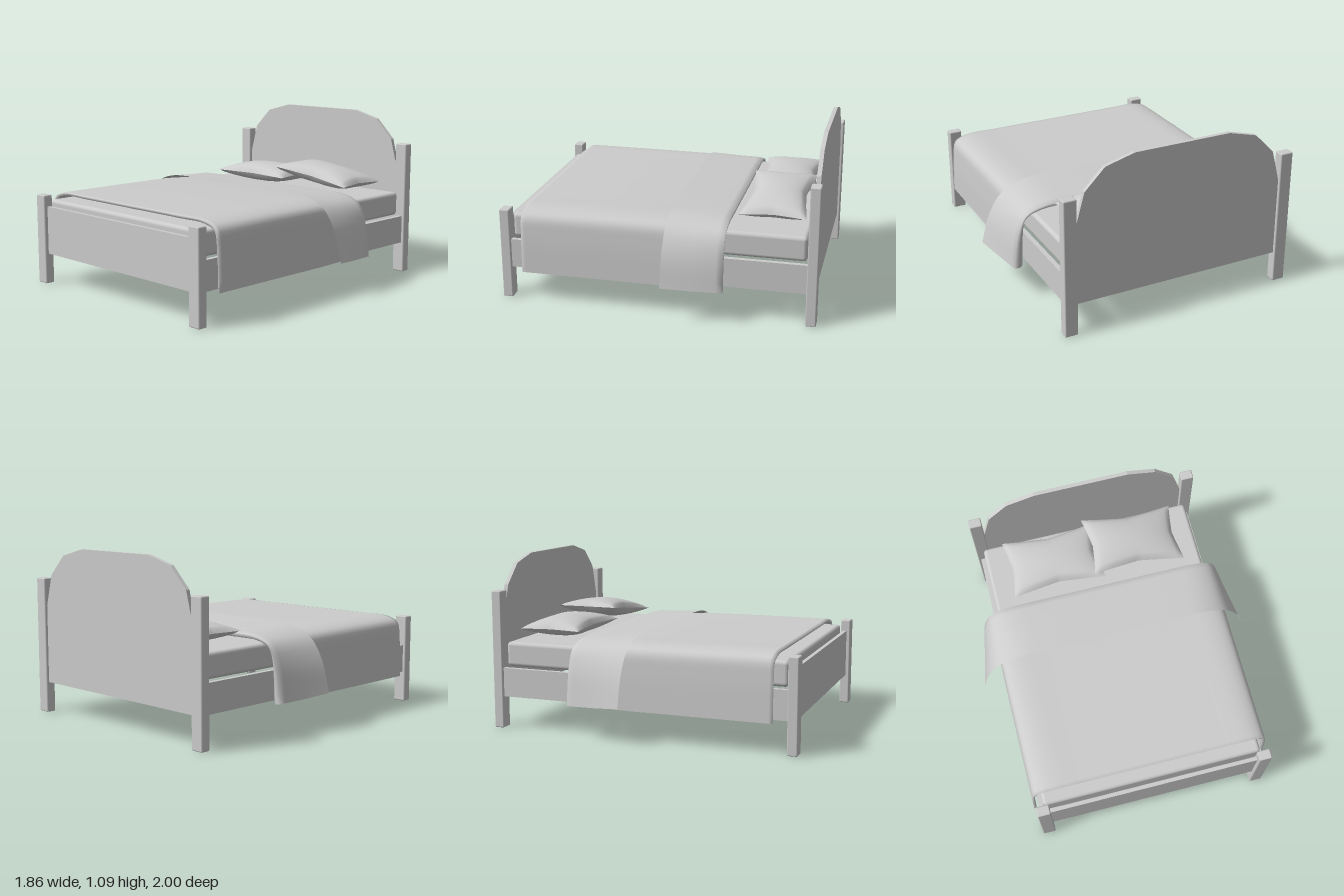
import * as THREE from 'three';
import { RoundedBoxGeometry } from 'three/addons/geometries/RoundedBoxGeometry.js';

const grey = new THREE.MeshStandardMaterial({ color: 0xcccccc, side: THREE.DoubleSide });
grey.name = 'pale grey';

const { lerp } = THREE.MathUtils;

function add(group, name, geometry, x = 0, y = 0, z = 0) {
  const mesh = new THREE.Mesh(geometry, grey);
  mesh.name = name;
  mesh.position.set(x, y, z);
  group.add(mesh);
  return mesh;
}

// Smooth sheet over a grid: fn(u, v) gives a Vector3 for u, v in 0..1
function sheet(fn, nu, nv) {
  const geometry = new THREE.PlaneGeometry(1, 1, nu, nv);
  const pos = geometry.attributes.position;
  for (let j = 0, i = 0; j <= nv; j++) {
    for (let k = 0; k <= nu; k++, i++) {
      const p = fn(k / nu, j / nv);
      pos.setXYZ(i, p.x, p.y, p.z);
    }
  }
  geometry.computeVertexNormals();
  return geometry;
}

// Bedcover: one cloth running from the foot, folded back on itself near the pillows
function coverGeometry() {
  // Half cross-section: x when hanging straight, x when flared, and height fractions
  const straightX = [0, 0.45, 0.68, 0.765, 0.785, 0.795];
  const flaredX = [0, 0.45, 0.65, 0.78, 0.87, 0.93];
  const straightH = [1, 1, 0.99, 0.9, 0.63, 0];
  const flaredH = [1, 1, 0.96, 0.82, 0.5, 0];
  // Rows: z, flare, top, bottom, width scale
  const rows = [
    [0.835, 0, 0.575, 0.2, 0.975], [0.85, 0, 0.58, 0.19, 0.98], [0.855, 0, 0.597, 0.19, 1],
    [0.83, 0, 0.6, 0.19, 1], [0.4, 0, 0.6, 0.19, 1], [-0.05, 0, 0.597, 0.19, 1],
    [-0.3, 0, 0.58, 0.195, 1], [-0.425, 0.05, 0.568, 0.2, 1], [-0.44, 0.25, 0.575, 0.2, 1],
    [-0.44, 0.48, 0.597, 0.205, 1], [-0.4, 0.54, 0.606, 0.207, 1],
    [-0.25, 0.74, 0.614, 0.215, 1], [-0.07, 1, 0.628, 0.23, 1],
  ];
  const curves = rows.map(([z, flare, top, bottom, scale]) => new THREE.CatmullRomCurve3(
    straightX.map((x, i) => new THREE.Vector3(
      lerp(x, flaredX[i], flare) * scale,
      lerp(bottom, top, lerp(straightH[i], flaredH[i], flare)), z)), false, 'centripetal'));
  return sheet((u, v) => {
    const s = u * 2 - 1;
    const p = curves[Math.round(v * (rows.length - 1))].getPoint(Math.abs(s));
    if (s < 0) p.x *= -1;
    return p;
  }, 40, rows.length - 1);
}

// One face of a pillow: full in the middle, sharp corners, edges pinched inward
function pillowGeometry(side) {
  const hx = 0.318, hz = 0.207, thick = 0.067;
  return sheet((u, v) => {
    const a = (u * 2 - 1) * side, b = v * 2 - 1;
    const pinchX = 1 - 0.11 * Math.pow(1 - Math.abs(b), 0.8);
    const pinchZ = 1 - 0.2 * Math.pow(1 - Math.abs(a), 0.9);
    const full = Math.pow((1 - a * a) * (1 - b * b), 0.45);
    return new THREE.Vector3(a * hx * pinchX, side * thick * full, b * hz * pinchZ);
  }, 28, 20);
}

function pillow(name, x, y, tilt) {
  const group = new THREE.Group();
  group.name = name;
  add(group, 'pillowTop', pillowGeometry(1));
  add(group, 'pillowBottom', pillowGeometry(-1));
  group.position.set(x, y, -0.695);
  group.rotation.z = tilt;
  return group;
}

export function createModel() {
  const bed = new THREE.Group();
  bed.name = 'bed';

  // Posts and side rails, mirrored left and right
  for (const [side, label] of [[1, 'left'], [-1, 'right']]) {
    add(bed, label + 'FootPost', new RoundedBoxGeometry(0.085, 0.59, 0.065, 1, 0.008), side * 0.7325, 0.295, 0.9675);
    add(bed, label + 'HeadPost', new RoundedBoxGeometry(0.085, 0.885, 0.065, 1, 0.008), side * 0.7325, 0.4425, -0.9675);
    add(bed, label + 'SideRail', new THREE.BoxGeometry(0.03, 0.185, 1.88), side * 0.742, 0.2975, 0);
  }

  // Footboard
  add(bed, 'footboard', new THREE.BoxGeometry(1.4, 0.315, 0.025), 0, 0.3575, 0.9625);

  // Headboard with a faceted arch
  const half = [[0.69, 0.2], [0.69, 0.71], [0.635, 0.91], [0.505, 1.04], [0.315, 1.09]];
  const outline = [...half, ...half.map(([x, y]) => [-x, y]).reverse()];
  const shape = new THREE.Shape(outline.map(([x, y]) => new THREE.Vector2(x, y)));
  add(bed, 'headboard', new THREE.ExtrudeGeometry(shape, { depth: 0.026, bevelEnabled: false }), 0, 0, -0.982);

  // Mattress and bedding
  add(bed, 'mattress', new RoundedBoxGeometry(1.45, 0.158, 1.855, 3, 0.025), 0, 0.475, 0);
  add(bed, 'bedcover', coverGeometry());
  bed.add(pillow('rightPillow', -0.272, 0.622, 0));
  bed.add(pillow('leftPillow', 0.287, 0.66, -0.13));

  return bed;
}
